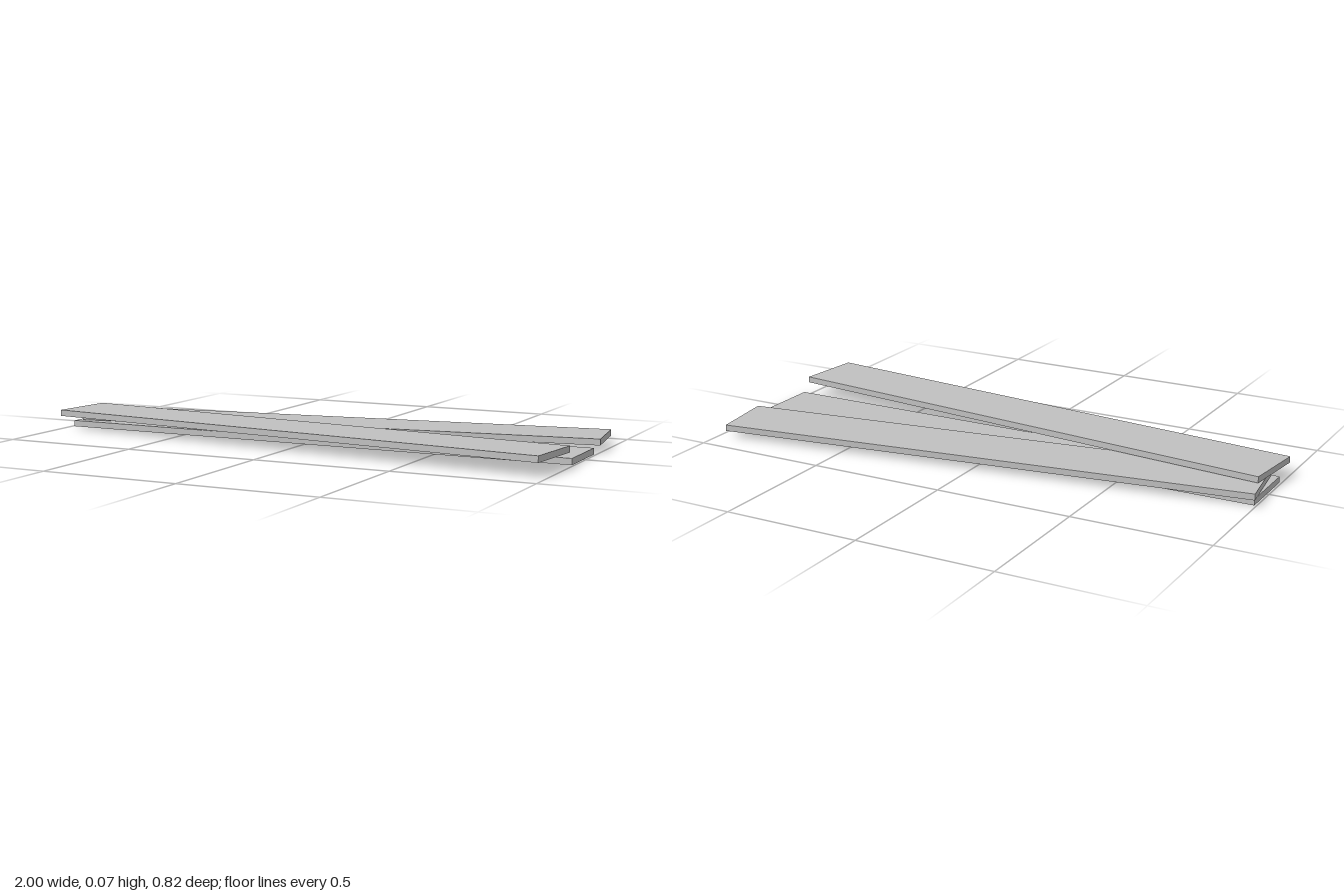
import * as THREE from 'three';

export function createModel() {
  const group = new THREE.Group();
  const material = new THREE.MeshStandardMaterial({ color: 0xc0c0c0 });
  material.name = 'lightGrey';

  // One plank size, stacked with a hairline gap and fanned out
  const length = 1.984, thickness = 0.0226, width = 0.243, pitch = 0.0248;
  const geometry = new THREE.BoxGeometry(length, thickness, width);

  const planks = [
    { name: 'bottomPlank', z: 0.002, turn: 0 },
    { name: 'middlePlank', z: -0.152, turn: 0.138 },
    { name: 'topPlank', z: 0.185, turn: -0.106 },
  ];
  planks.forEach(({ name, z, turn }, i) => {
    const plank = new THREE.Mesh(geometry, material);
    plank.name = name;
    plank.position.set(0, thickness / 2 + i * pitch, z);
    plank.rotation.y = turn;
    group.add(plank);
  });
  return group;
}
